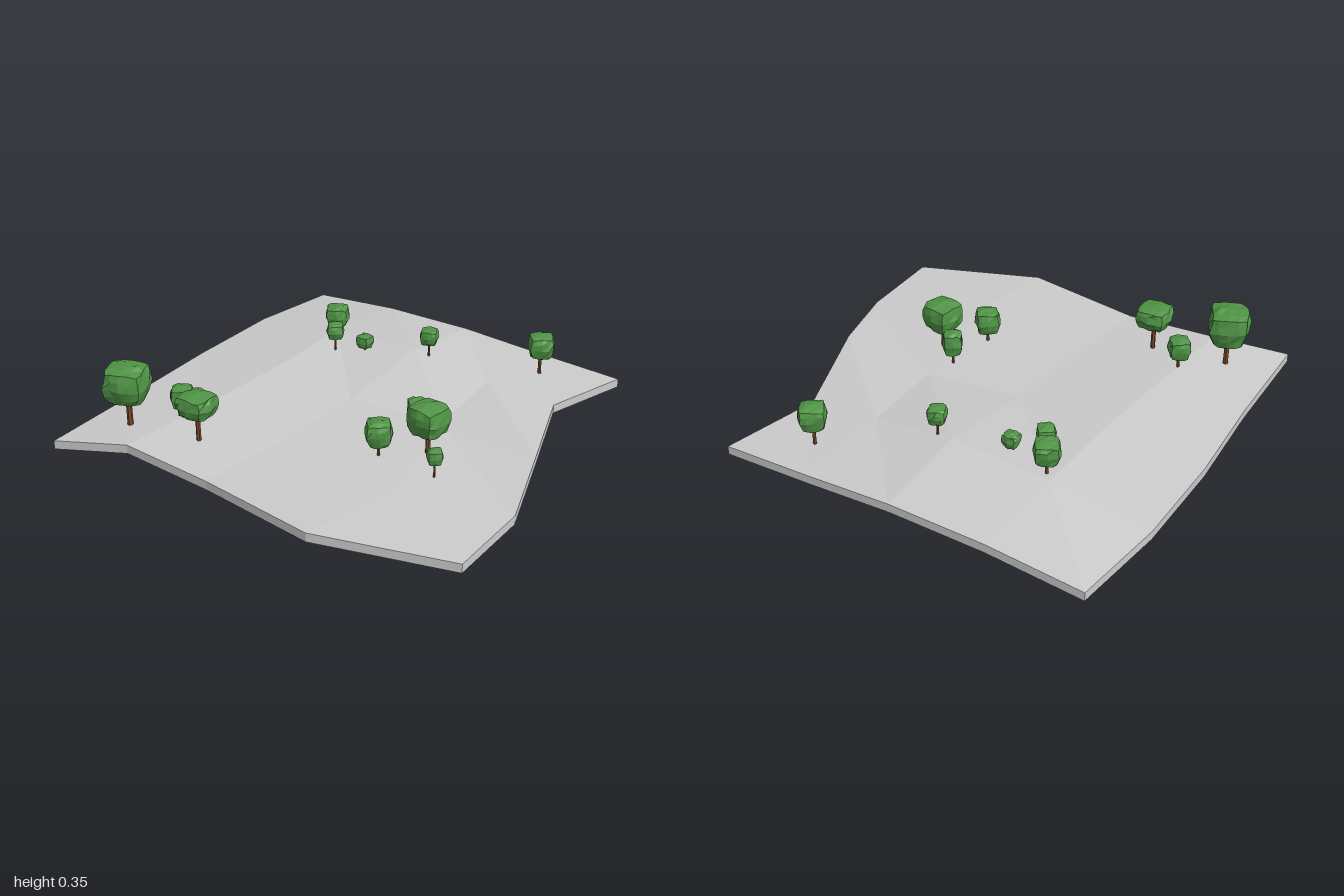
import * as THREE from 'three';

// Ground grid, back row to front row: x, top height, z
const ROWS = [
  [-0.97, 0.052, -0.9, -0.54, 0.085, -0.925, -0.1, 0.088, -0.95, 0.3, 0.065, -0.975, 0.715, 0.047, -1],
  [-1, 0.057, -0.47, -0.55, 0.115, -0.5, -0.09, 0.14, -0.52, 0.3, 0.09, -0.54, 0.63, 0.062, -0.57],
  [-0.975, 0.05, 0, -0.53, 0.098, -0.03, -0.09, 0.075, -0.04, 0.35, 0.068, -0.12, 0.83, 0.085, -0.1],
  [-0.92, 0.05, 0.46, -0.54, 0.085, 0.52, -0.1, 0.06, 0.53, 0.5, 0.065, 0.42, 0.97, 0.042, 0.27],
  [-0.875, 0.043, 0.99, -0.55, 0.083, 0.87, -0.12, 0.058, 0.845, 0.44, 0.066, 0.89, 1, 0.047, 0.67],
];
const N = 5;
const THICKNESS = 0.04;

// Trees: x, z, crown side, crown bottom, crown top, ground height, turn in degrees
const TREES = [
  [-0.69, 0.72, 0.165, 0.18, 0.35, 0.06, 25],
  [-0.36, 0.64, 0.135, 0.185, 0.29, 0.07, 5],
  [-0.54, 0.55, 0.088, 0.13, 0.232, 0.083, 40],
  [0.3, 0.265, 0.1, 0.112, 0.23, 0.06, 40],
  [0.445, 0.12, 0.14, 0.152, 0.29, 0.063, -7],
  [0.315, 0.02, 0.08, 0.112, 0.232, 0.067, 40],
  [0.575, 0.255, 0.058, 0.12, 0.187, 0.06, 45],
  [-0.51, -0.46, 0.1, 0.165, 0.267, 0.112, 35],
  [-0.43, -0.345, 0.072, 0.16, 0.24, 0.108, 40],
  [-0.305, -0.41, 0.064, 0.125, 0.19, 0.115, 2],
  [-0.015, -0.52, 0.075, 0.187, 0.265, 0.13, 25],
  [0.415, -0.795, 0.105, 0.145, 0.26, 0.068, 40],
];

function createGround() {
  const top = (i, j) => ROWS[j].slice(i * 3, i * 3 + 3);
  const low = (i, j) => { const [x, y, z] = top(i, j); return [x, y - THICKNESS, z]; };
  const pos = [];
  const quad = (a, b, c, d) => pos.push(...a, ...b, ...c, ...a, ...c, ...d);
  const E = N - 1;
  for (let j = 0; j < E; j++) {
    for (let i = 0; i < E; i++) {
      quad(top(i, j), top(i, j + 1), top(i + 1, j + 1), top(i + 1, j));
      quad(low(i, j), low(i + 1, j), low(i + 1, j + 1), low(i, j + 1));
    }
  }
  // Four rim walls
  const wall = (a, b) => quad(low(...a), low(...b), top(...b), top(...a));
  for (let k = 0; k < E; k++) {
    wall([k, E], [k + 1, E]);
    wall([k + 1, 0], [k, 0]);
    wall([E, k + 1], [E, k]);
    wall([0, k], [0, k + 1]);
  }
  const geo = new THREE.BufferGeometry();
  geo.setAttribute('position', new THREE.Float32BufferAttribute(pos, 3));
  geo.computeVertexNormals();
  return geo;
}

// Repeatable noise from a position, so shared corners stay joined
function noise(x, y, z, seed) {
  const s = Math.sin(x * 12.99 + y * 78.23 + z * 37.72 + seed * 9.17) * 43758.5;
  return s - Math.floor(s) - 0.5;
}

// Lumpy rounded cube of unit size
function createCrown(seed) {
  const geo = new THREE.BoxGeometry(1, 1, 1, 4, 4, 4);
  const p = geo.attributes.position;
  const v = new THREE.Vector3();
  for (let i = 0; i < p.count; i++) {
    v.fromBufferAttribute(p, i);
    const [x, y, z] = v.toArray().map((n) => Math.round(n * 4) / 4);
    const ball = v.clone().normalize().multiplyScalar(0.58);
    v.lerp(ball, 0.55);
    const taper = y < 0 ? 1 + y * 0.22 : 1.02;
    v.x = v.x * taper + noise(x, y, z, seed) * 0.07;
    v.z = v.z * taper + noise(z, x, y, seed + 3) * 0.07;
    v.y = v.y * 0.95 + noise(y, z, x, seed + 7) * 0.06;
    p.setXYZ(i, v.x, v.y, v.z);
  }
  return geo;
}

export function createModel() {
  const model = new THREE.Group();
  model.name = 'woodlandGround';
  const groundMat = new THREE.MeshStandardMaterial({ color: 0xcccccc, flatShading: true });
  const leafMat = new THREE.MeshStandardMaterial({ color: 0x4f9445, flatShading: true });
  const barkMat = new THREE.MeshStandardMaterial({ color: 0x7a4a2b, flatShading: true });

  const ground = new THREE.Mesh(createGround(), groundMat);
  ground.name = 'ground';
  model.add(ground);

  TREES.forEach(([x, z, side, bottom, top, base, turn], i) => {
    const tree = new THREE.Group();
    tree.name = 'tree';
    tree.position.set(x, 0, z);
    tree.rotation.y = THREE.MathUtils.degToRad(turn);

    const crown = new THREE.Mesh(createCrown(i + 1), leafMat);
    crown.name = 'crown';
    crown.scale.set(side * 1.04, top - bottom, side * 1.04);
    crown.position.y = (bottom + top) / 2;

    // Trunk runs from inside the ground up into the crown
    const foot = base - 0.03;
    const tip = bottom + (top - bottom) * 0.3;
    const r = side * 0.08;
    const trunk = new THREE.Mesh(new THREE.CylinderGeometry(r * 0.9, r, tip - foot, 6), barkMat);
    trunk.name = 'trunk';
    trunk.position.y = (foot + tip) / 2;

    tree.add(crown, trunk);
    model.add(tree);
  });
  return model;
}
